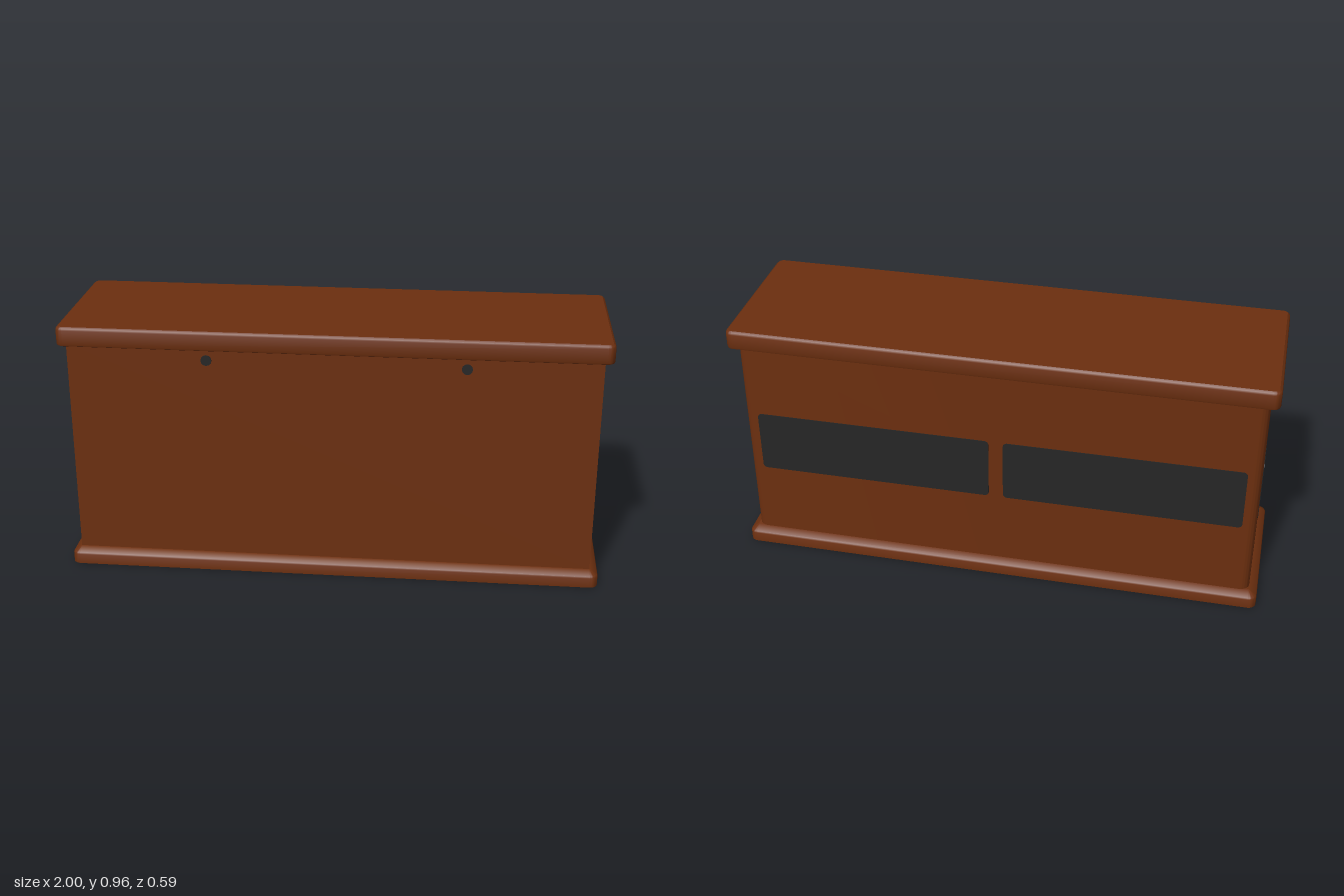
import * as THREE from 'three';
import { toCreasedNormals } from 'three/addons/utils/BufferGeometryUtils.js';

const mat = (name, color, opts = {}) => {
  const m = new THREE.MeshStandardMaterial({ color, ...opts });
  m.name = name;
  return m;
};

// Rounded rectangle outline; separate radii for the two edges along y
function roundedRect(w, h, rLow, rHigh) {
  const s = new THREE.Shape(), x = w / 2, y = h / 2, q = Math.PI / 2;
  const corner = (cx, cy, r, a) => {
    if (r > 0) s.absarc(cx, cy, r, a, a + q, false);
    else s.lineTo(cx, cy);
  };
  s.moveTo(x, -y + rLow);
  corner(x - rHigh, y - rHigh, rHigh, 0);
  corner(-x + rHigh, y - rHigh, rHigh, q);
  corner(-x + rLow, -y + rLow, rLow, 2 * q);
  corner(x - rLow, -y + rLow, rLow, 3 * q);
  return s;
}

// Stack of rounded rectangles following a [inset, y] profile, capped at both ends
function moulding(w, d, r, profile) {
  const n = 6, per = 4 * (n + 1), pos = [], idx = [];
  for (const [inset, y] of profile) {
    const rr = Math.max(r - inset, 0.004);
    for (let c = 0; c < 4; c++) {
      const sx = c === 0 || c === 3 ? 1 : -1, sz = c < 2 ? 1 : -1;
      for (let i = 0; i <= n; i++) {
        const a = (c + i / n) * Math.PI / 2;
        pos.push(sx * (w / 2 - inset - rr) + rr * Math.cos(a), y,
          sz * (d / 2 - inset - rr) + rr * Math.sin(a));
      }
    }
  }
  for (let k = 0; k < profile.length - 1; k++) {
    for (let i = 0; i < per; i++) {
      const a = k * per + i, b = k * per + (i + 1) % per;
      idx.push(a, a + per, b, b, a + per, b + per);
    }
  }
  const top = (profile.length - 1) * per;
  for (let i = 1; i < per - 1; i++) {
    idx.push(0, i, i + 1, top, top + i + 1, top + i);
  }
  const g = new THREE.BufferGeometry();
  g.setAttribute('position', new THREE.Float32BufferAttribute(pos, 3));
  g.setIndex(idx);
  return toCreasedNormals(g, 0.6);
}

// Bowed strap handle, narrower at the middle
function handleGeometry() {
  const R = 0.126, half = 0.75, t = 0.008, width = 0.032;
  const s = new THREE.Shape();
  s.absarc(0, 0, R, -half, half, false);
  s.absarc(0, 0, R - t, half, -half, true);
  const g = new THREE.ExtrudeGeometry(s, { depth: width, bevelEnabled: false, curveSegments: 20 });
  g.translate(-R, 0, -width / 2);
  g.rotateY(-Math.PI / 2);
  const p = g.attributes.position;
  for (let i = 0; i < p.count; i++) {
    const f = p.getY(i) / 0.086;
    p.setX(i, p.getX(i) * (0.72 + 0.28 * f * f));
  }
  const creased = toCreasedNormals(g, 0.6);
  creased.clearGroups();
  for (const gr of g.groups) creased.addGroup(gr.start, gr.count, gr.materialIndex);
  return creased;
}

export function createModel() {
  const model = new THREE.Group();
  model.name = 'cabinet';
  const wood = mat('brown wood', 0x6c2f0f);
  const black = mat('black panel', 0x262626);
  const brass = mat('brass', 0xb98f50);

  const add = (name, geo, material, x = 0, y = 0, z = 0, ry = 0) => {
    const m = new THREE.Mesh(geo, material);
    m.name = name;
    m.position.set(x, y, z);
    m.rotation.y = ry;
    model.add(m);
    return m;
  };

  // Base with a sloped upper edge
  add('base', moulding(2, 0.59, 0.03,
    [[0, 0], [0, 0.038], [0.003, 0.044], [0.03, 0.062]]), wood);

  // Body: square front edges, rounded back edges
  const bodyGeo = new THREE.ExtrudeGeometry(roundedRect(1.936, 0.53, 0, 0.035),
    { depth: 0.83, bevelEnabled: false, curveSegments: 8 });
  bodyGeo.rotateX(-Math.PI / 2);
  add('body', toCreasedNormals(bodyGeo, 0.6), wood, 0, 0.06, -0.001);

  // Lid with softened edges
  add('lid', moulding(2, 0.59, 0.028,
    [[0.008, 0.884], [0.002, 0.887], [0, 0.893], [0, 0.945], [0.003, 0.952], [0.01, 0.957]]), wood);

  // Dark vent panels on the ends and the back
  const panel = (w) => new THREE.ExtrudeGeometry(roundedRect(w, 0.245, 0.016, 0.016),
    { depth: 0.004, bevelEnabled: false, curveSegments: 4 });
  for (const side of [-1, 1]) {
    add('endPanel', panel(0.412), black, side * 0.966, 0.473, 0, side * Math.PI / 2);
    add('backPanel', panel(0.89), black, side * 0.472, 0.473, -0.264, Math.PI);
  }

  // Door handles and locks
  const handle = handleGeometry();
  const lock = new THREE.CylinderGeometry(0.02, 0.02, 0.006, 12);
  lock.rotateX(Math.PI / 2);
  for (const x of [-0.82, 0.12]) {
    add('handle', handle, [wood, brass], x, 0.645, 0.296);
    add('lock', lock, black, x + 0.366, 0.84, 0.265);
  }
  return model;
}
